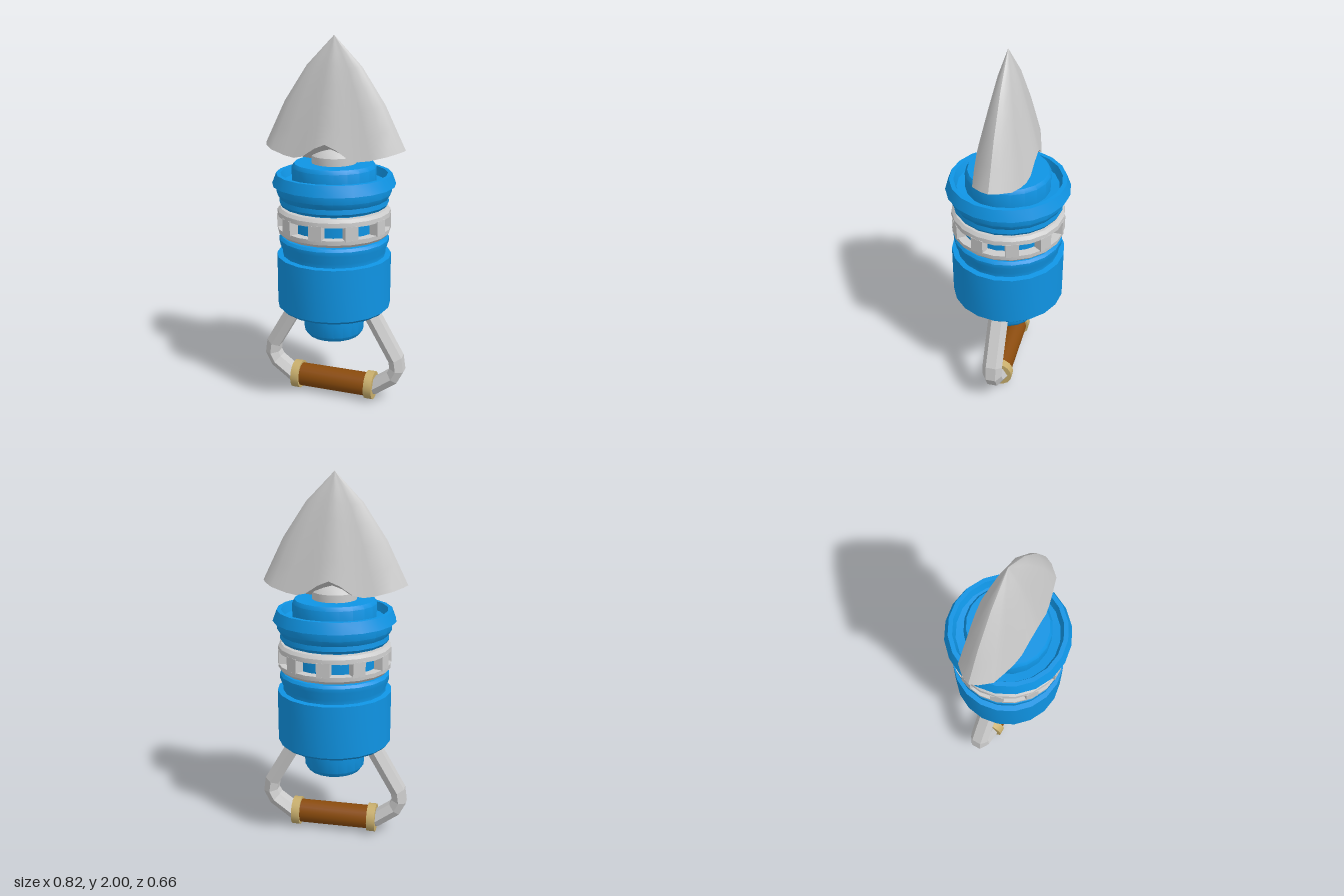
import * as THREE from 'three';
import { toCreasedNormals } from 'three/addons/utils/BufferGeometryUtils.js';

const mat = (color, extra = {}) => new THREE.MeshStandardMaterial({ color, ...extra });
const SIDES = 20;

function lathe(points, sides = SIDES, crease = 0.6) {
  const g = new THREE.LatheGeometry(points.map(([r, y]) => new THREE.Vector2(r, y)), sides);
  return toCreasedNormals(g, crease);
}

// Piecewise-linear lookup through [key, value] pairs
function lookup(table, k) {
  for (let i = 1; i < table.length; i++) {
    const [k0, v0] = table[i - 1], [k1, v1] = table[i];
    if (k <= k1) return v0 + (v1 - v0) * (k - k0) / (k1 - k0);
  }
  return table[table.length - 1][1];
}

// Surface through rows of equally many [x, y, z] points
function gridGeometry(rows, closeRows = false) {
  const n = rows[0].length, index = [];
  for (let i = 0; i < rows.length - 1; i++) {
    for (let j = 0; j < (closeRows ? n : n - 1); j++) {
      const k = (j + 1) % n;
      const a = i * n + j, b = i * n + k, c = (i + 1) * n + j, d = (i + 1) * n + k;
      index.push(a, c, b, b, c, d);
    }
  }
  const g = new THREE.BufferGeometry();
  g.setAttribute('position', new THREE.Float32BufferAttribute(rows.flat(2), 3));
  g.setIndex(index);
  g.computeVertexNormals();
  return g;
}

// Leaf-shaped spearhead: a lens section that widens from the tip to a wavy lower edge
function bladeGroup(material) {
  const width = [[0, 0], [0.27, 0.15], [0.6, 0.275], [1, 0.387]];
  const depth = [[0, 0], [0.27, 0.052], [0.6, 0.1], [1, 0.155]];
  const lens = [[0, 1], [0.3, 0.95], [0.52, 0.84], [0.82, 0.64], [0.95, 0.28], [1, 0]];
  const edge = [[0, 1.465], [0.15, 1.44], [0.32, 1.395], [0.45, 1.383], [0.6, 1.39], [1, 1.43]];
  const keel = [[0, 1.4], [0.3, 1.355], [0.5, 1.378], [1, 1.43]];
  const half = [0, 0.15, 0.32, 0.45, 0.6, 0.82, 0.95, 1];
  const across = [...half.slice(1).reverse().map(s => -s), ...half];
  const levels = [0, 0.14, 0.27, 0.43, 0.6, 0.8, 1];
  const point = (s, t, side) => {
    const a = Math.abs(s);
    return [s * lookup(width, t), 2 + (lookup(edge, a) - 2) * t, side * lookup(depth, t) * lookup(lens, a)];
  };
  const group = new THREE.Group();
  group.name = 'spearhead';
  for (const side of [1, -1]) {
    const order = side > 0 ? across : [...across].reverse();
    const face = new THREE.Mesh(gridGeometry(levels.map(t => order.map(s => point(s, t, side)))), material);
    face.name = side > 0 ? 'bladeFront' : 'bladeBack';
    group.add(face);
  }
  // Underside, dipping to a keel between the two faces
  const under = gridGeometry([
    across.map(s => point(s, 1, 1)),
    across.map(s => [s * 0.387, lookup(keel, Math.abs(s)), 0]),
    across.map(s => point(s, 1, -1)),
  ]);
  const underside = new THREE.Mesh(toCreasedNormals(under, 0.4), material);
  underside.name = 'bladeUnderside';
  group.add(underside);
  return group;
}

// Six-sided bar swept along a bent path in the xy plane
function handleArm(path) {
  const section = [0, 1, 2, 3, 4, 5].map(i => [Math.cos(i * Math.PI / 3) * 0.056, Math.sin(i * Math.PI / 3) * 0.046]);
  const pts = path.map(([x, y]) => new THREE.Vector2(x, y));
  const rows = pts.map((p, i) => {
    const dir = pts[Math.min(i + 1, pts.length - 1)].clone().sub(pts[Math.max(i - 1, 0)]).normalize();
    return section.map(([z, n]) => [p.x - dir.y * n, p.y + dir.x * n, z]);
  });
  return gridGeometry(rows, true);
}

export function createModel() {
  const model = new THREE.Group();
  model.name = 'spearheadDevice';
  const blue = mat(0x0f94e4, { side: THREE.DoubleSide });
  const grey = mat(0xcccccc, { side: THREE.DoubleSide });
  const greyFlat = mat(0xcccccc, { side: THREE.DoubleSide, flatShading: true });
  const brown = mat(0x8a4b0c);
  const tan = mat(0xc8ae6c);
  const add = (name, geometry, material, parent = model) => {
    const mesh = new THREE.Mesh(geometry, material);
    mesh.name = name;
    parent.add(mesh);
    return mesh;
  };

  // Turned body with lower boss, waist, flared rim, channel and top drum
  add('body', lathe([
    [0, 0.38], [0.148, 0.38], [0.165, 0.405], [0.168, 0.505], [0.2, 0.512], [0.295, 0.545], [0.31, 0.56],
    [0.31, 0.845], [0.28, 0.848], [0.28, 0.87], [0.297, 0.915], [0.297, 0.938], [0.285, 0.952],
    [0.255, 0.955], [0.255, 1.118], [0.283, 1.12], [0.293, 1.135], [0.29, 1.16], [0.308, 1.19], [0.308, 1.23],
    [0.33, 1.232], [0.308, 1.29], [0.285, 1.29], [0.27, 1.245],
    [0.225, 1.24], [0.225, 1.325], [0.212, 1.345], [0, 1.345],
  ]), blue);

  // Windowed ring around the waist
  const cage = new THREE.Group();
  cage.name = 'windowedRing';
  model.add(cage);
  const band = [[0.257, 0.962], [0.288, 0.962], [0.303, 0.978], [0.305, 1.002], [0.257, 1.002], [0.257, 0.962]];
  add('lowerBand', lathe(band), grey, cage);
  add('upperBand', lathe(band.map(([r, y]) => [r, 2.072 - y]).reverse()), grey, cage);
  for (let i = 0; i < 10; i++) {
    const a = i * Math.PI / 5;
    const bar = add('ringBar', new THREE.BoxGeometry(0.07, 0.08, 0.05), grey, cage);
    bar.position.set(Math.sin(a) * 0.279, 1.036, Math.cos(a) * 0.279);
    bar.rotation.y = a;
  }

  // Neck and spearhead
  add('neck', lathe([[0.12, 1.34], [0.12, 1.385], [0.09, 1.415], [0, 1.445]]), grey);
  model.add(bladeGroup(grey));

  // Handle arms, mirrored left and right
  const arm = [[0.2, 0.545], [0.215, 0.52], [0.362, 0.265], [0.37, 0.205], [0.345, 0.155], [0.235, 0.075], [0.2, 0.075]];
  for (const side of [1, -1]) {
    add(side > 0 ? 'leftHandleArm' : 'rightHandleArm', handleArm(arm.map(([x, y]) => [x * side, y])), greyFlat);
    const collar = add('gripCollar', toCreasedNormals(new THREE.CylinderGeometry(0.079, 0.079, 0.046, 16), 0.6), tan);
    collar.rotation.z = Math.PI / 2;
    collar.position.set(side * 0.217, 0.08, 0);
  }
  const grip = add('grip', toCreasedNormals(new THREE.CylinderGeometry(0.066, 0.066, 0.4, 16), 0.6), brown);
  grip.rotation.z = Math.PI / 2;
  grip.position.y = 0.08;

  return model;
}
